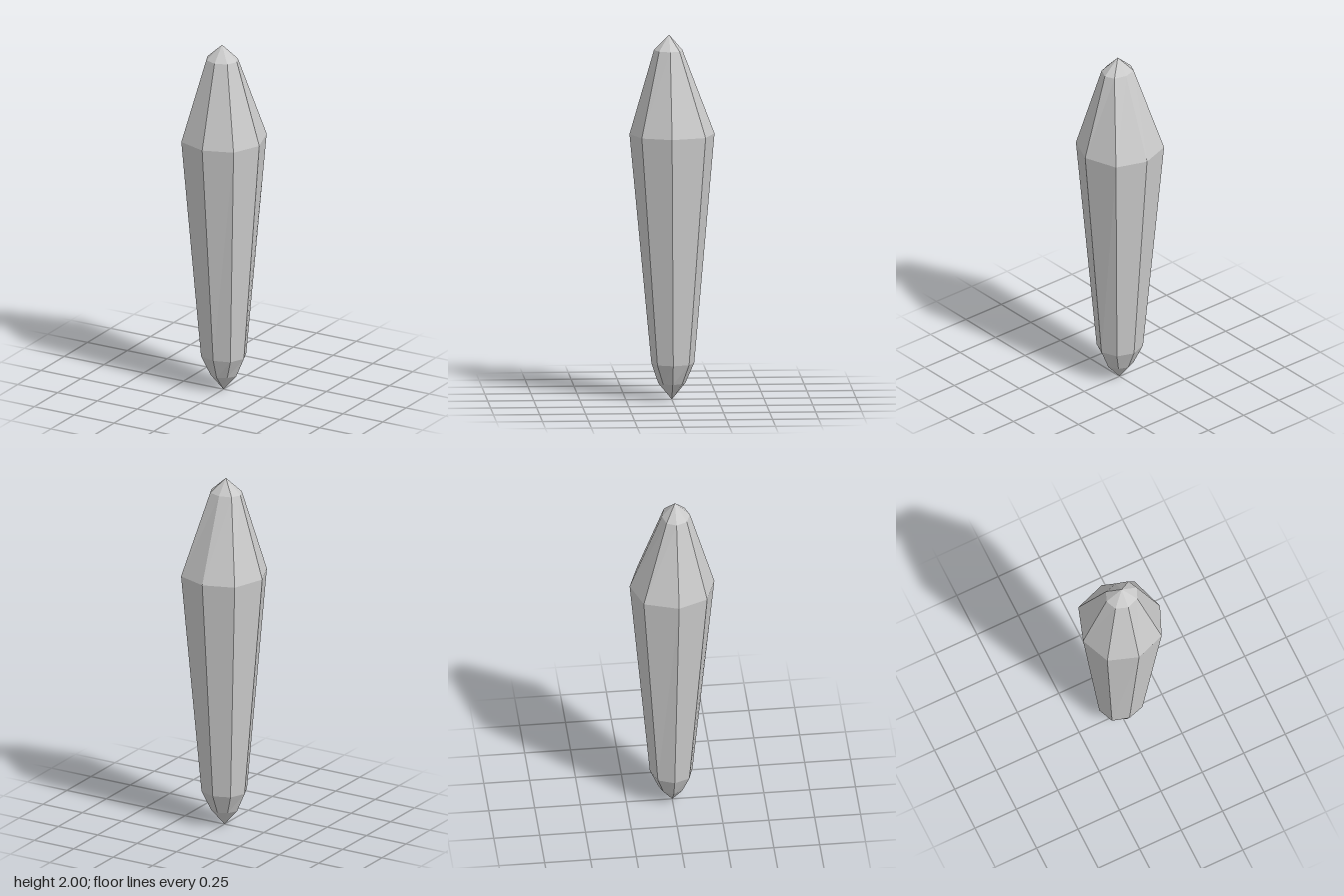
import * as THREE from 'three';

// Eight-sided rings, bottom to top: height, side x, side z, front z, back z,
// then the diagonal corners: front x, front z, back x, back z
const RINGS = [
  [0.09, 0.08, 0, 0.074, -0.074, 0.052, 0.05, 0.052, -0.053],
  [0.2, 0.128, 0, 0.111, -0.122, 0.092, 0.084, 0.092, -0.088],
  [1.457, 0.232, 0.013, 0.23, -0.232, 0.164, 0.173, 0.17, -0.173],
  [1.917, 0.092, 0.014, 0.097, -0.057, 0.066, 0.073, 0.068, -0.038],
];

// Corners of one ring, counter-clockwise seen from above, starting at the front
function ringCorners([y, sx, sz, front, back, fx, fz, bx, bz]) {
  return [
    [0, y, front], [fx, y, fz], [sx, y, sz], [bx, y, bz],
    [0, y, back], [-bx, y, bz], [-sx, y, sz], [-fx, y, fz],
  ];
}

export function createModel() {
  const rings = RINGS.map(ringCorners);
  const bottomTip = [0, 0, 0];
  const topTip = [0, 2, 0.015];
  const positions = [];
  const triangle = (a, b, c) => positions.push(...a, ...b, ...c);

  for (let i = 0; i < 8; i++) {
    const j = (i + 1) % 8;
    // Pointed ends
    triangle(bottomTip, rings[0][j], rings[0][i]);
    triangle(rings[3][i], rings[3][j], topTip);
    // Long facets between neighbouring rings
    for (let k = 0; k < 3; k++) {
      const low = rings[k], high = rings[k + 1];
      triangle(low[i], low[j], high[j]);
      triangle(low[i], high[j], high[i]);
    }
  }

  const geometry = new THREE.BufferGeometry();
  geometry.setAttribute('position', new THREE.Float32BufferAttribute(positions, 3));
  geometry.computeVertexNormals();

  const crystal = new THREE.Mesh(
    geometry,
    new THREE.MeshStandardMaterial({ color: 0xcccccc, flatShading: true })
  );
  crystal.name = 'crystal';

  const model = new THREE.Group();
  model.name = 'crystalShard';
  model.add(crystal);
  return model;
}
